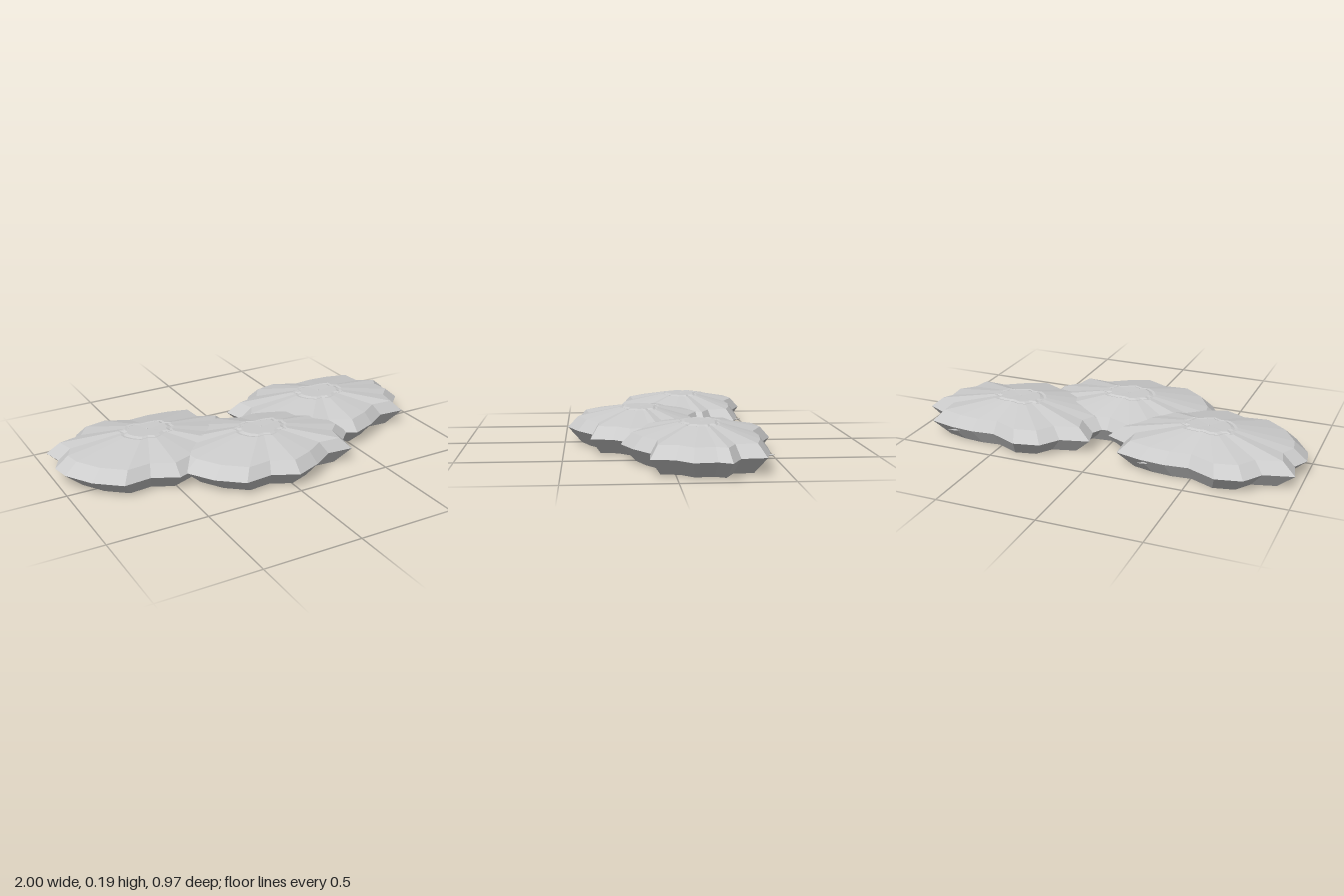
import * as THREE from 'three';

// Scalloped rim of one lobe, [x, z] around its centre
const RIM = [
  [0.492, -0.086], [0.46, -0.027], [0.47, 0.08], [0.40, 0.15], [0.38, 0.257], [0.245, 0.248],
  [0.134, 0.32], [0.004, 0.372], [-0.123, 0.31], [-0.262, 0.325], [-0.385, 0.225], [-0.47, 0.09],
  [-0.487, -0.005], [-0.444, -0.083], [-0.47, -0.187], [-0.327, -0.225], [-0.262, -0.32],
  [-0.134, -0.348], [0.01, -0.284], [0.128, -0.295], [0.252, -0.284], [0.38, -0.251], [0.39, -0.134],
];

// Rings from the underside centre to the crown: [scale of rim, height]
const RINGS = [
  [0, 0], [0.81, 0], [1, 0.08], [0.86, 0.135], [0.29, 0.18], [0.26, 0.178], [0.22, 0.184], [0, 0.183],
];

function lobeGeometry() {
  const positions = [];
  const point = (i, k) => {
    const [x, z] = RIM[i % RIM.length];
    const [s, y] = RINGS[k];
    return [x * s, y, z * s];
  };
  for (let k = 0; k < RINGS.length - 1; k++) {
    for (let i = 0; i < RIM.length; i++) {
      const a = point(i, k), b = point(i + 1, k);
      const aUp = point(i, k + 1), bUp = point(i + 1, k + 1);
      if (RINGS[k][0] > 0) positions.push(...a, ...aUp, ...b);
      if (RINGS[k + 1][0] > 0) positions.push(...b, ...aUp, ...bUp);
    }
  }
  const geometry = new THREE.BufferGeometry();
  geometry.setAttribute('position', new THREE.Float32BufferAttribute(positions, 3));
  geometry.computeVertexNormals();
  return geometry;
}

export function createModel() {
  const group = new THREE.Group();
  group.name = 'lobedCluster';
  const material = new THREE.MeshStandardMaterial({ color: 0xcccccc, flatShading: true });
  const lobe = lobeGeometry();
  const thorn = new THREE.ConeGeometry(0.008, 0.06, 5);
  const tip = new THREE.ConeGeometry(0.008, 0.008, 5);

  const add = (parent, name, geometry, x = 0, y = 0, z = 0) => {
    const mesh = new THREE.Mesh(geometry, material);
    mesh.name = name;
    mesh.position.set(x, y, z);
    parent.add(mesh);
    return mesh;
  };

  // Three equal lobes, two behind and one in front
  for (const [name, x, z] of [['rightLobe', -0.513, -0.142], ['leftLobe', 0.508, -0.142], ['frontLobe', 0, 0.112]]) {
    const part = new THREE.Group();
    part.name = name;
    part.position.set(x, 0, z);
    add(part, 'scallopedBody', lobe);
    add(part, 'crownTip', tip, 0, 0.185, -0.004);
    // Small spike at the back edge
    const spike = add(part, 'backSpike', thorn, 0.24, 0.066, -0.287);
    spike.quaternion.setFromUnitVectors(
      new THREE.Vector3(0, 1, 0), new THREE.Vector3(0.7, 0.2, -0.68).normalize());
    group.add(part);
  }
  return group;
}
